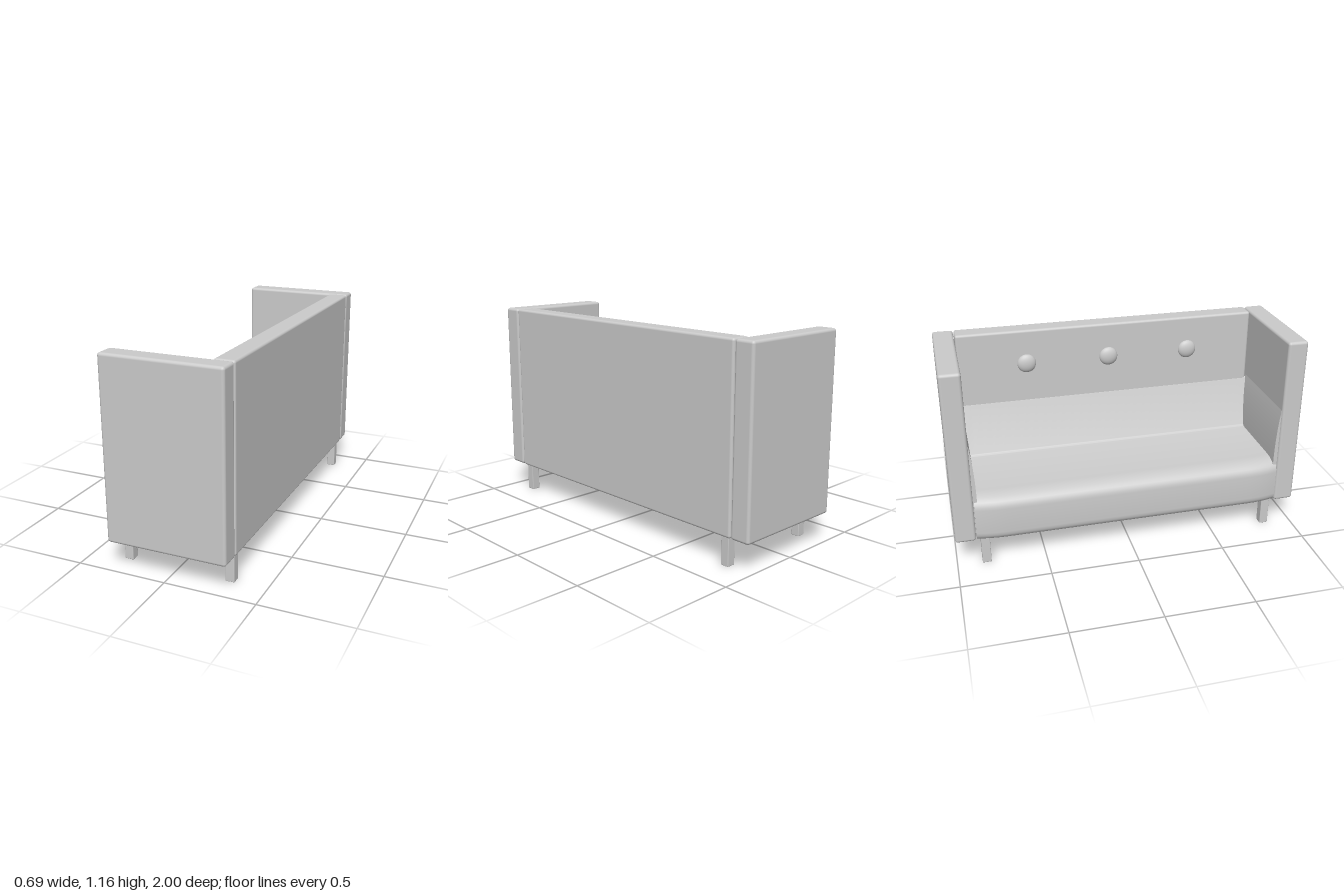
import * as THREE from 'three';
import { toCreasedNormals } from 'three/addons/utils/BufferGeometryUtils.js';
import { RoundedBoxGeometry } from 'three/addons/geometries/RoundedBoxGeometry.js';

const material = new THREE.MeshStandardMaterial({ color: 0xcccccc });

export function createModel() {
  const group = new THREE.Group();

  const add = (name, geometry, x = 0, y = 0, z = 0) => {
    const mesh = new THREE.Mesh(geometry, material);
    mesh.name = name;
    mesh.position.set(x, y, z);
    group.add(mesh);
    return mesh;
  };

  // Box given by its limits, with softened edges
  const box = (name, x0, x1, y0, y1, z0, z1, r) =>
    add(name, new RoundedBoxGeometry(x1 - x0, y1 - y0, z1 - z0, 3, r),
      (x0 + x1) / 2, (y0 + y1) / 2, (z0 + z1) / 2);

  // Backrest panel; the sofa opens towards -x
  box('backrest', 0.23, 0.342, 0.16, 1.16, -0.88, 0.88, 0.014);

  // Seat with rounded front and sloping lumbar cushion, one profile along z
  const profile = new THREE.Shape();
  profile.moveTo(0.24, 0.165);
  profile.lineTo(-0.325, 0.165);
  profile.quadraticCurveTo(-0.345, 0.18, -0.345, 0.22);
  profile.lineTo(-0.345, 0.355);
  profile.bezierCurveTo(-0.345, 0.4, -0.31, 0.425, -0.24, 0.428);
  profile.lineTo(0.145, 0.43);
  profile.quadraticCurveTo(0.162, 0.432, 0.168, 0.45);
  profile.lineTo(0.226, 0.72);
  profile.quadraticCurveTo(0.232, 0.74, 0.24, 0.74);
  const seat = new THREE.ExtrudeGeometry(profile, {
    depth: 1.76, steps: 32, bevelEnabled: false, curveSegments: 8,
  });
  seat.translate(0, 0, -0.88);
  // Draw the front face back slightly where it meets the arms
  const p = seat.attributes.position;
  for (let i = 0; i < p.count; i++) {
    const t = Math.max(0, (Math.abs(p.getZ(i)) - 0.72) / 0.16);
    if (p.getX(i) < -0.2) p.setX(i, p.getX(i) + 0.02 * t * t);
  }
  add('seat', toCreasedNormals(seat, 0.6));

  for (const s of [-1, 1]) {
    // Arm panel
    box('arm', -0.323, 0.342, 0.16, 1.16, Math.min(s, s * 0.884), Math.max(s, s * 0.884), 0.016);

    // Padding swelling inward on the lower inside of the arm
    const pad = new THREE.Shape();
    pad.moveTo(s * 0.9, 0.2);
    pad.lineTo(s * 0.862, 0.2);
    pad.lineTo(s * 0.862, 0.45);
    pad.quadraticCurveTo(s * 0.864, 0.62, s * 0.884, 0.75);
    pad.lineTo(s * 0.9, 0.75);
    const padGeometry = new THREE.ExtrudeGeometry(pad, {
      depth: 0.545, bevelEnabled: false, curveSegments: 8,
    });
    padGeometry.rotateY(-Math.PI / 2);
    padGeometry.translate(0.235, 0, 0);
    add('armPadding', toCreasedNormals(padGeometry, 0.6));

    // Square legs
    for (const x of [-0.285, 0.3]) {
      box('leg', x - 0.025, x + 0.025, 0, 0.18, s * 0.835 - 0.025, s * 0.835 + 0.025, 0.004);
    }
  }

  // Upholstery buttons on the backrest
  for (const z of [-0.485, 0, 0.485]) {
    add('button', new THREE.SphereGeometry(0.055, 24, 16), 0.232, 0.96, z).scale.x = 0.5;
  }

  return group;
}
